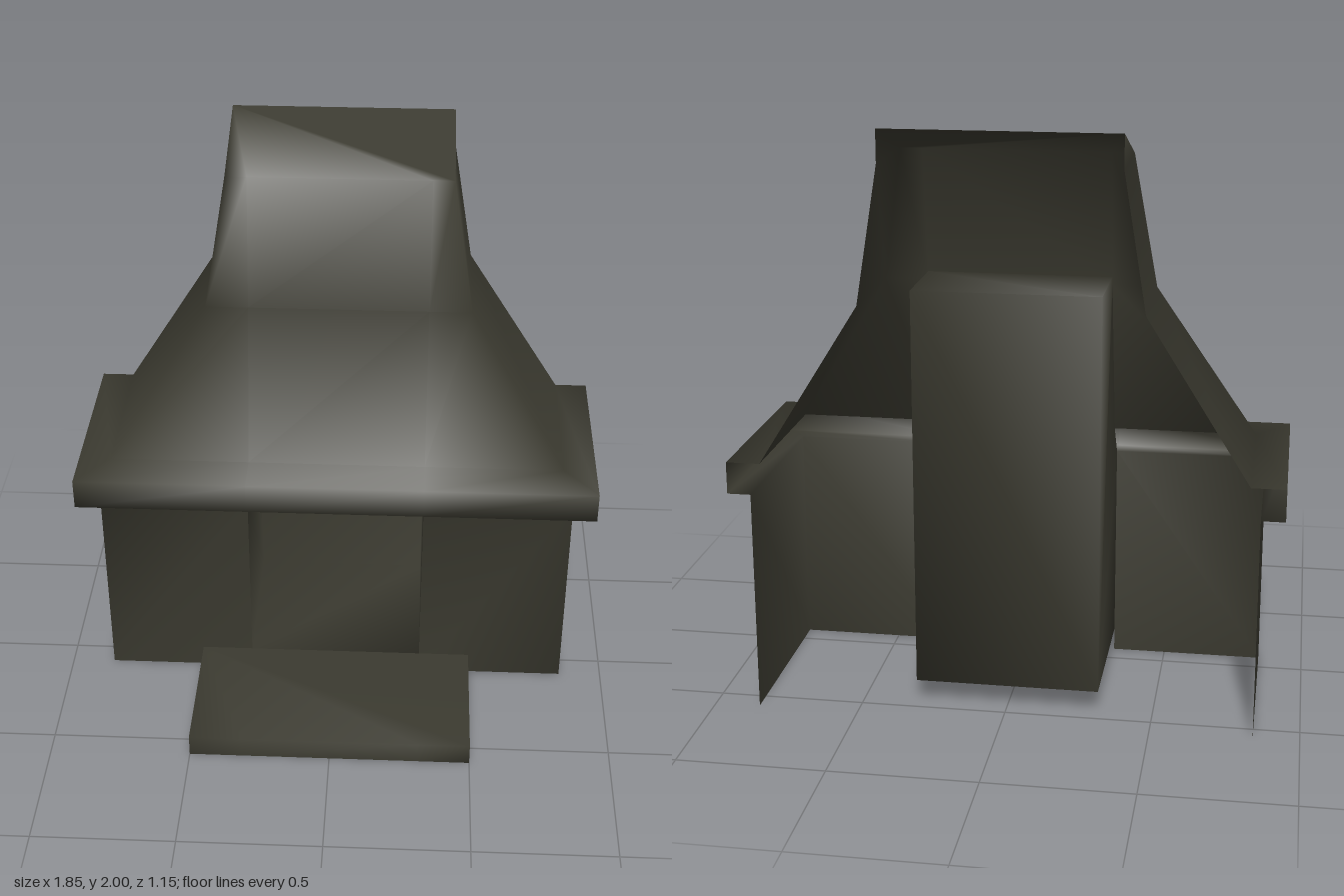
import * as THREE from 'three';

const BACK = -0.575;   // open rear plane
const OPEN = 0.315;    // half width of the fire opening
const WALL = 0.08;     // front plane of the lower walls
const FLOOR = 0.08;    // height of the hearth and fire floor

// U-shaped section, open at the rear: left back, front points, right back
const uSection = (hw, zf, y, zb = BACK) => [
  [-hw, y, zb], [-hw, y, zf], [-OPEN, y, zf], [OPEN, y, zf], [hw, y, zf], [hw, y, zb],
];

// Faces joining section r to section r + 1
function strip(r, skip = -1) {
  const out = [];
  for (let i = 0; i < 5; i++) {
    if (i === skip) continue;
    const a = r * 6 + i, b = a + 6;
    out.push(a, a + 1, b + 1, a, b + 1, b);
  }
  return out;
}

// Fan over a list of corner indices
function fan(ids) {
  const out = [];
  for (let i = 1; i < ids.length - 1; i++) out.push(ids[0], ids[i], ids[i + 1]);
  return out;
}

function surface(points, index) {
  const g = new THREE.BufferGeometry();
  g.setAttribute('position', new THREE.Float32BufferAttribute(points.flat(), 3));
  g.setIndex(index);
  g.computeVertexNormals();
  return g;
}

export function createModel() {
  const group = new THREE.Group();
  group.name = 'fireplace';
  const material = new THREE.MeshStandardMaterial({ color: 0x3b3a30 });
  material.name = 'dark olive stone';
  material.side = THREE.DoubleSide;

  const add = (name, geometry) => {
    const mesh = new THREE.Mesh(geometry, material);
    mesh.name = name;
    group.add(mesh);
  };

  // Outer shell: half width, front z, height, from the ground to the hood top
  const sections = [
    [0.845, WALL, 0], [0.845, WALL, 0.77],
    [0.925, 0.15, 0.77], [0.925, 0.15, 0.88],
    [0.81, 0, 0.88], [0.465, -0.15, 1.43], [0.39, -0.23, 1.89],
  ];
  const points = sections.flatMap(s => uSection(...s));
  const top = points.length;
  points.push([-0.39, 2, BACK], [0.39, 2, BACK]);
  const last = (sections.length - 1) * 6;

  const parts = {
    lowerWalls: strip(0, 2),
    mantel: [...strip(1), ...strip(2), ...strip(3)],
    hood: [
      ...strip(4), ...strip(5),
      last, last + 1, top,                 // sloping top and its side gables
      last + 4, last + 5, top + 1,
      ...fan([top, last + 1, last + 2, last + 3, last + 4, top + 1]),
    ],
  };
  // Shared normals keep the shading continuous from part to part
  const shell = surface(points, Object.values(parts).flat());
  for (const [name, index] of Object.entries(parts)) {
    const g = new THREE.BufferGeometry();
    g.setAttribute('position', shell.getAttribute('position'));
    g.setAttribute('normal', shell.getAttribute('normal'));
    g.setIndex(index);
    add(name, g);
  }

  // Firebox: side outline (z, y) starting at the rear of the floor
  const outline = [
    [-0.46, FLOOR], [-0.46, 1.46], [-0.16, 1.46], [-0.155, 1.43],
    [-0.01, 0.88], [WALL, 0.77], [WALL, FLOOR],
  ];
  const n = outline.length;
  const box = [-OPEN, OPEN].flatMap(x => outline.map(([z, y]) => [x, y, z]));
  const ids = outline.map((_, i) => i);
  const across = (i, j) => [i, i + n, j + n, i, j + n, j];
  add('firebox', surface(box, [
    ...fan(ids), ...fan(ids.map(i => i + n).reverse()),
    ...across(0, 1), ...across(1, 2), ...across(n - 1, 0),
  ]));

  // Hearth slab, hollow underneath
  const slab = [0, FLOOR].flatMap(y => uSection(0.5, 0.575, y, WALL));
  add('hearth', surface(slab, [...strip(0), ...fan([6, 7, 8, 9, 10, 11])]));

  return group;
}
